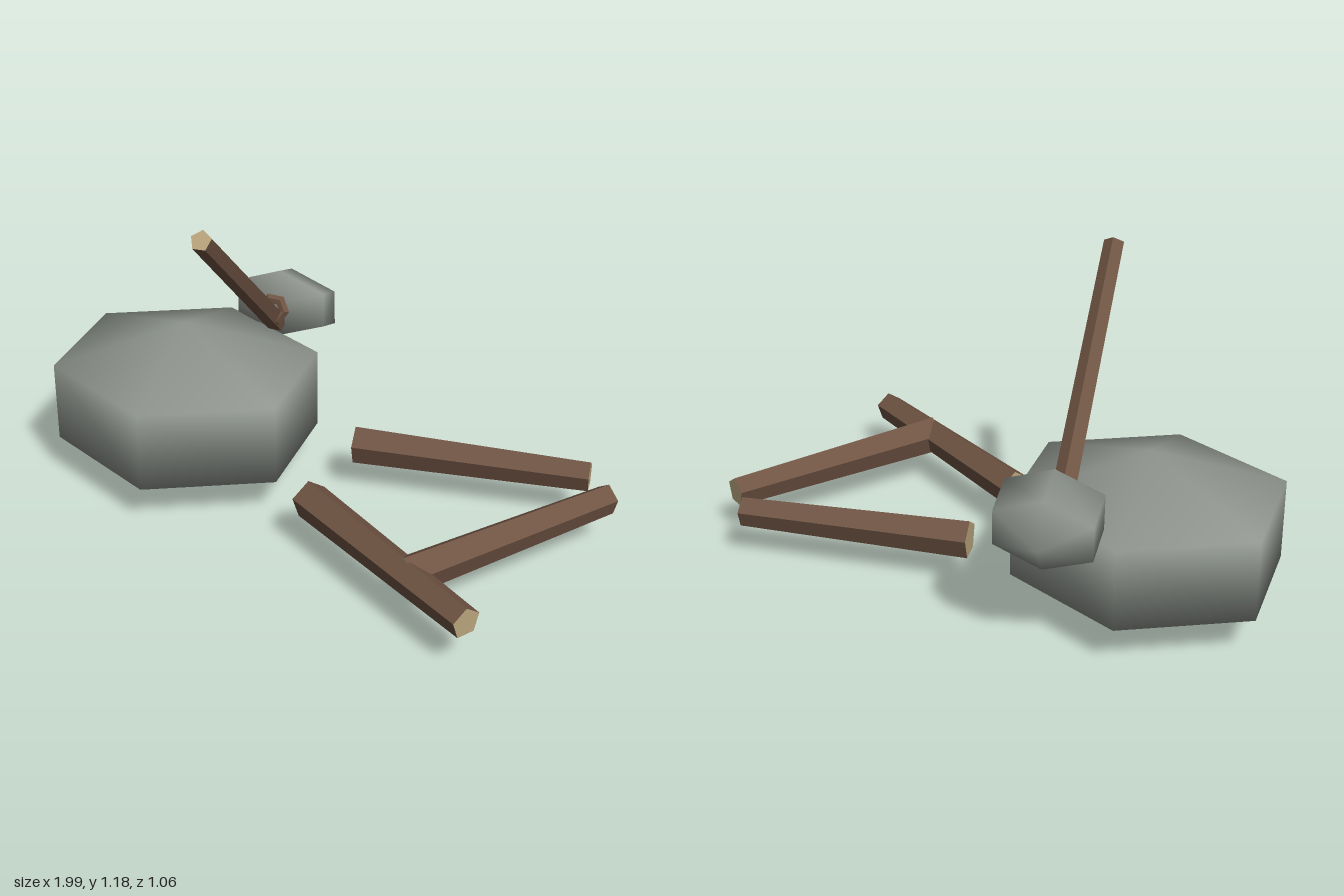
import * as THREE from 'three';

const V = (a) => new THREE.Vector3(...a);

export function createModel() {
  const group = new THREE.Group();
  const stone = new THREE.MeshStandardMaterial({ color: 0x8f958e });
  const bark = new THREE.MeshStandardMaterial({ color: 0x6f5443, flatShading: true });
  const cutWood = new THREE.MeshStandardMaterial({ color: 0xb8a47c, flatShading: true });
  stone.name = 'stone';
  bark.name = 'bark';
  cutWood.name = 'cutWood';

  const add = (name, geometry, material) => {
    const mesh = new THREE.Mesh(geometry, material);
    mesh.name = name;
    group.add(mesh);
  };

  // Smooth six-sided boulder, stretched along three given half-axes
  const boulder = (name, centre, x, y, z) => {
    const matrix = new THREE.Matrix4().makeBasis(V(x), V(y), V(z)).setPosition(V(centre));
    add(name, new THREE.SphereGeometry(1, 6, 3).applyMatrix4(matrix), stone);
  };

  // Tapered five-sided pole with one ridge upwards and pale cut ends
  const pole = (name, from, to, rFrom, rTo) => {
    const a = V(from), b = V(to);
    const y = b.clone().sub(a);
    const length = y.length();
    y.normalize();
    const x = y.clone().cross(new THREE.Vector3(0, 1, 0)).normalize();
    const z = x.clone().cross(y);
    const matrix = new THREE.Matrix4().makeBasis(x, y, z).setPosition(a.add(b).multiplyScalar(0.5));
    const geometry = new THREE.CylinderGeometry(rTo, rFrom, length, 5).applyMatrix4(matrix);
    add(name, geometry, [bark, cutWood, cutWood]);
  };

  // Large rock and the stone axe head leaning on it
  boulder('rock', [-0.525, 0.3, 0.1], [0.548, 0, 0.092], [0, 0.3, 0], [-0.143, 0, 0.49]);
  boulder('axeHead', [-0.435, 0.52, -0.367], [-0.006, 0.15, -0.005], [0.04, 0.05, 0.12], [0.217, 0, -0.067]);

  // Axe handle
  pole('axeHandle', [-0.42, 0.475, -0.29], [-0.145, 1.153, 0.425], 0.042, 0.037);

  // Binding around the handle
  const binding = new THREE.TorusGeometry(0.04, 0.02, 5, 6);
  binding.applyQuaternion(new THREE.Quaternion().setFromUnitVectors(
    new THREE.Vector3(0, 0, 1), new THREE.Vector3(0.35, 0.35, 0.85).normalize()));
  binding.translate(-0.39, 0.557, -0.235);
  add('axeBinding', binding, bark);

  // Logs on the ground
  pole('backLog', [0.045, 0.18, -0.16], [0.825, 0.18, -0.49], 0.07, 0.055);
  pole('frontLog', [0.13, 0.18, 0.225], [0.945, 0.18, 0.475], 0.07, 0.055);
  pole('crossLog', [0.65, 0.18, 0.39], [0.945, 0.18, -0.405], 0.07, 0.055);

  return group;
}
